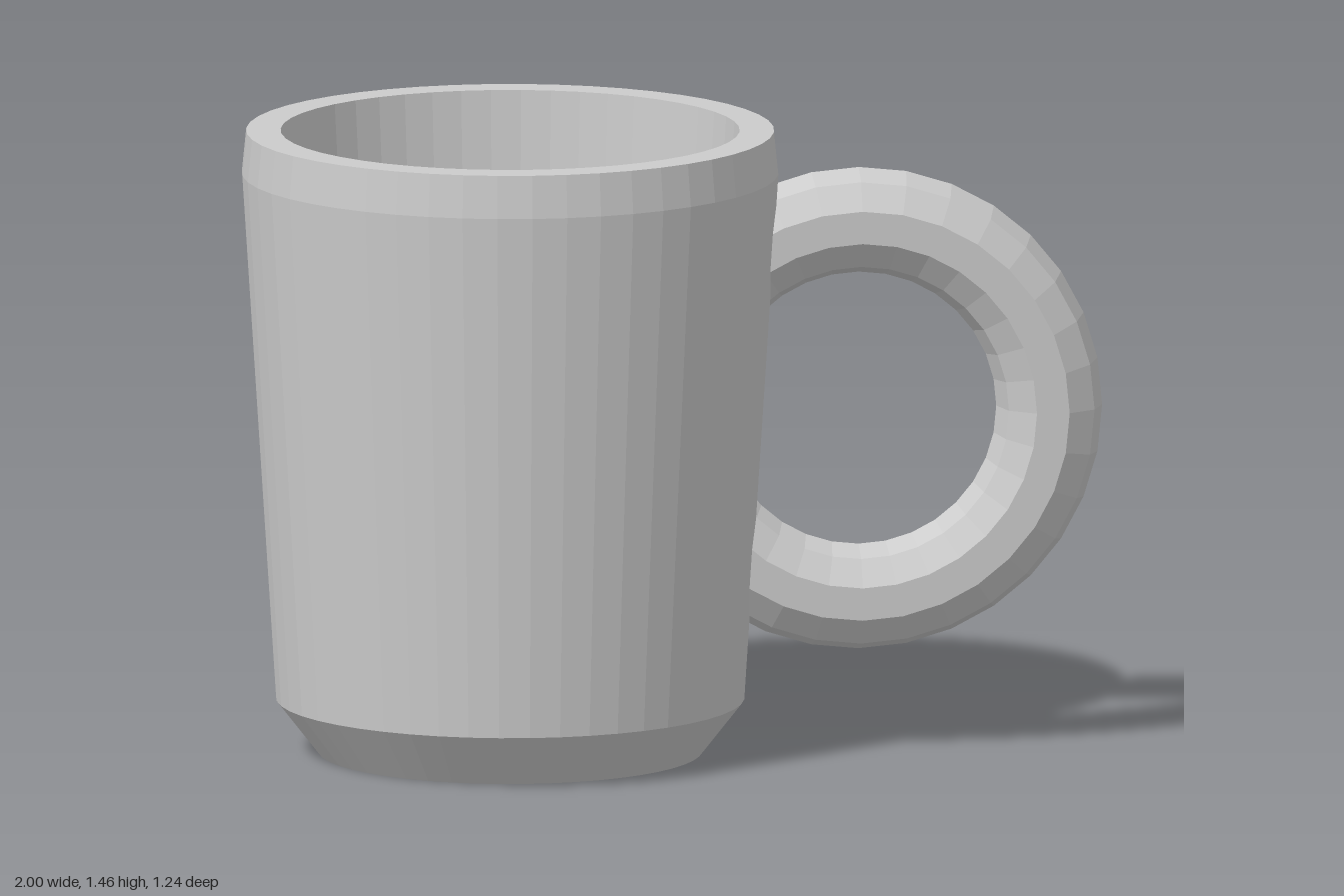
import * as THREE from 'three';

const CUP_X = -0.378;
const SIDES = 48;

export function createModel() {
  const model = new THREE.Group();
  model.name = 'mug';
  const clay = new THREE.MeshStandardMaterial({ color: 0xcccccc, flatShading: true });
  const coffee = new THREE.MeshStandardMaterial({ color: 0x3c3130 });

  const add = (name, geometry, material, x, y) => {
    const mesh = new THREE.Mesh(geometry, material);
    mesh.name = name;
    mesh.position.set(x, y, 0);
    model.add(mesh);
    return mesh;
  };

  // Cup wall: chamfered foot, tapered outside, flat rim, tapered inside, inner floor
  const profile = [
    [0, 0], [0.445, 0], [0.543, 0.125], [0.622, 1.36], [0.612, 1.46],
    [0.532, 1.46], [0.445, 0.125], [0, 0.125],
  ].map(([r, y]) => new THREE.Vector2(r, y));
  add('cup', new THREE.LatheGeometry(profile, SIDES), clay, CUP_X, 0);

  // Drink surface
  const drink = add('drink', new THREE.CircleGeometry(0.514, SIDES), coffee, CUP_X, 1.16);
  drink.rotation.x = -Math.PI / 2;

  // Ring handle, running through the cup wall
  add('handle', new THREE.TorusGeometry(0.443, 0.123, 10, 32), clay, 0.432, 0.795);

  return model;
}
